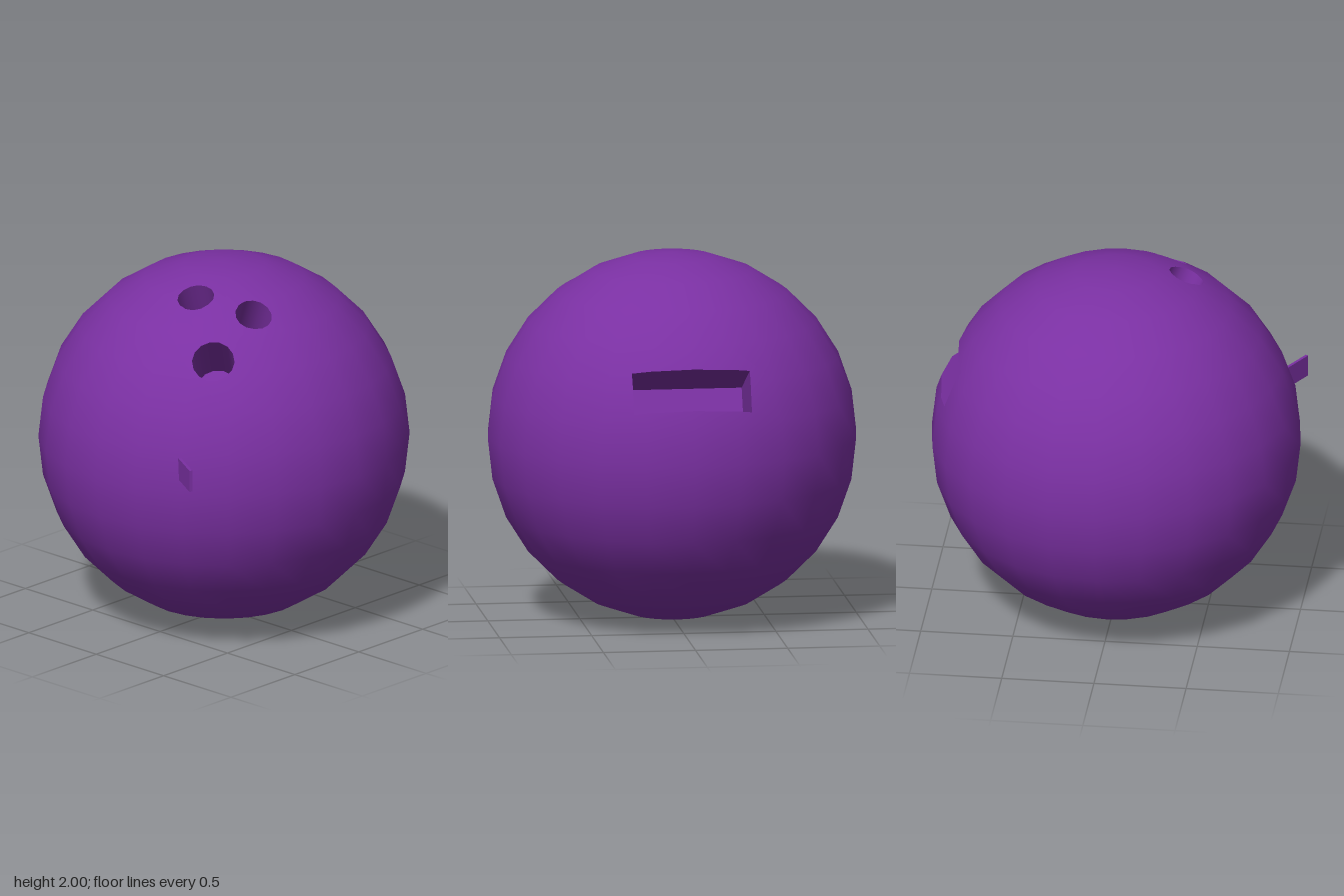
import * as THREE from 'three';

const V = (x, y, z) => new THREE.Vector3(x, y, z);

// Cut a convex polygon by a plane into the parts in front and behind
function split(poly, plane) {
  const front = [], back = [];
  poly.forEach((p, i) => {
    const q = poly[(i + 1) % poly.length];
    const a = plane.distanceToPoint(p), b = plane.distanceToPoint(q);
    if (a >= 0) front.push(p);
    if (a <= 0) back.push(p);
    if (a * b < 0) {
      const m = p.clone().lerp(q, a / (a - b));
      front.push(m);
      back.push(m);
    }
  });
  return [front, back];
}

// Fan-triangulate polygons, with normals from a rule
function toGeometry(polys, normalAt) {
  const pos = [], nor = [];
  for (const poly of polys) {
    for (let i = 1; i < poly.length - 1; i++) {
      for (const p of [poly[0], poly[i], poly[i + 1]]) {
        pos.push(p.x, p.y, p.z);
        if (normalAt) nor.push(...normalAt(p).toArray());
      }
    }
  }
  const g = new THREE.BufferGeometry();
  g.setAttribute('position', new THREE.Float32BufferAttribute(pos, 3));
  if (normalAt) g.setAttribute('normal', new THREE.Float32BufferAttribute(nor, 3));
  else g.computeVertexNormals();
  return g;
}

// A radial prism-shaped cutter: planes for cutting, quads for the lining
function makeCutter(dir, outline, depth) {
  const n = dir.clone().normalize();
  const u = V(0, 1, 0).cross(n).normalize();
  const v = n.clone().cross(u);
  const at = ([a, b], r) => n.clone().multiplyScalar(r).addScaledVector(u, a).addScaledVector(v, b);
  const low = outline.map(o => at(o, 1 - depth));
  const high = outline.map(o => at(o, 1.1));
  const planes = [new THREE.Plane().setFromNormalAndCoplanarPoint(n.clone().negate(), low[0])];
  const walls = [];
  outline.forEach((_, i) => {
    const j = (i + 1) % outline.length;
    planes.push(new THREE.Plane().setFromCoplanarPoints(low[i], low[j], high[j]));
    walls.push([low[j], low[i], high[i], high[j]]);
  });
  return { n, planes, walls, floor: low };
}

const circle = (r, sides = 14) => Array.from({ length: sides }, (_, i) => {
  const a = i / sides * Math.PI * 2;
  return [r * Math.cos(a), r * Math.sin(a)];
});

export function createModel() {
  const group = new THREE.Group();
  const purple = new THREE.MeshStandardMaterial({ color: 0x7a30a2 });
  const add = (name, geometry) => {
    const mesh = new THREE.Mesh(geometry, purple);
    mesh.name = name;
    mesh.position.y = 1;
    group.add(mesh);
    return mesh;
  };

  // Three finger holes on top and a wide slot at the back
  const cutters = [
    { name: 'fingerHoleFront', round: true, ...makeCutter(V(0.46, 0.68, 0.57), circle(0.115), 0.4) },
    { name: 'fingerHoleInner', round: true, ...makeCutter(V(0.14, 0.92, 0.37), circle(0.1), 0.4) },
    { name: 'fingerHoleOuter', round: true, ...makeCutter(V(0.45, 0.86, 0.24), circle(0.1), 0.4) },
    { name: 'backSlot', ...makeCutter(V(0, 0.41, -0.91),
      [[-0.32, -0.115], [0.32, -0.115], [0.32, 0.115], [-0.32, 0.115]], 0.45) },
  ];

  // Faceted sphere as separate triangles
  const p = new THREE.SphereGeometry(1, 24, 14).toNonIndexed().attributes.position;
  const faces = [];
  for (let i = 0; i < p.count; i += 3) {
    faces.push([0, 1, 2].map(k => V().fromBufferAttribute(p, i + k)));
  }
  const hull = faces.map(f => new THREE.Plane().setFromCoplanarPoints(...f));

  // Ball shell with the openings removed
  let shell = faces;
  for (const { planes } of cutters) {
    shell = shell.flatMap(face => {
      const kept = [];
      let rest = face;
      for (const plane of planes) {
        const [outside, inside] = split(rest, plane);
        if (outside.length > 2) kept.push(outside);
        rest = inside;
        if (rest.length < 3) return [face];
      }
      return kept;
    });
  }
  add('ball', toGeometry(shell, q => q.clone().normalize()));

  // Linings, trimmed to the ball's surface
  for (const { name, n, walls, floor, round } of cutters) {
    const trimmed = walls
      .map(w => hull.reduce((poly, plane) => (poly.length > 2 ? split(poly, plane)[1] : poly), w))
      .filter(w => w.length > 2);
    const inward = q => n.clone().multiplyScalar(q.dot(n)).sub(q).normalize();
    add(name + 'Wall', toGeometry(trimmed, round ? inward : null));
    add(name + 'Floor', toGeometry([floor]));
  }

  // Small flat tab on the front
  const tab = add('frontTab', new THREE.BoxGeometry(0.3, 0.12, 0.016));
  tab.position.set(0.53, 1.14, 0.88);
  tab.rotation.y = -Math.PI / 6;

  return group;
}
